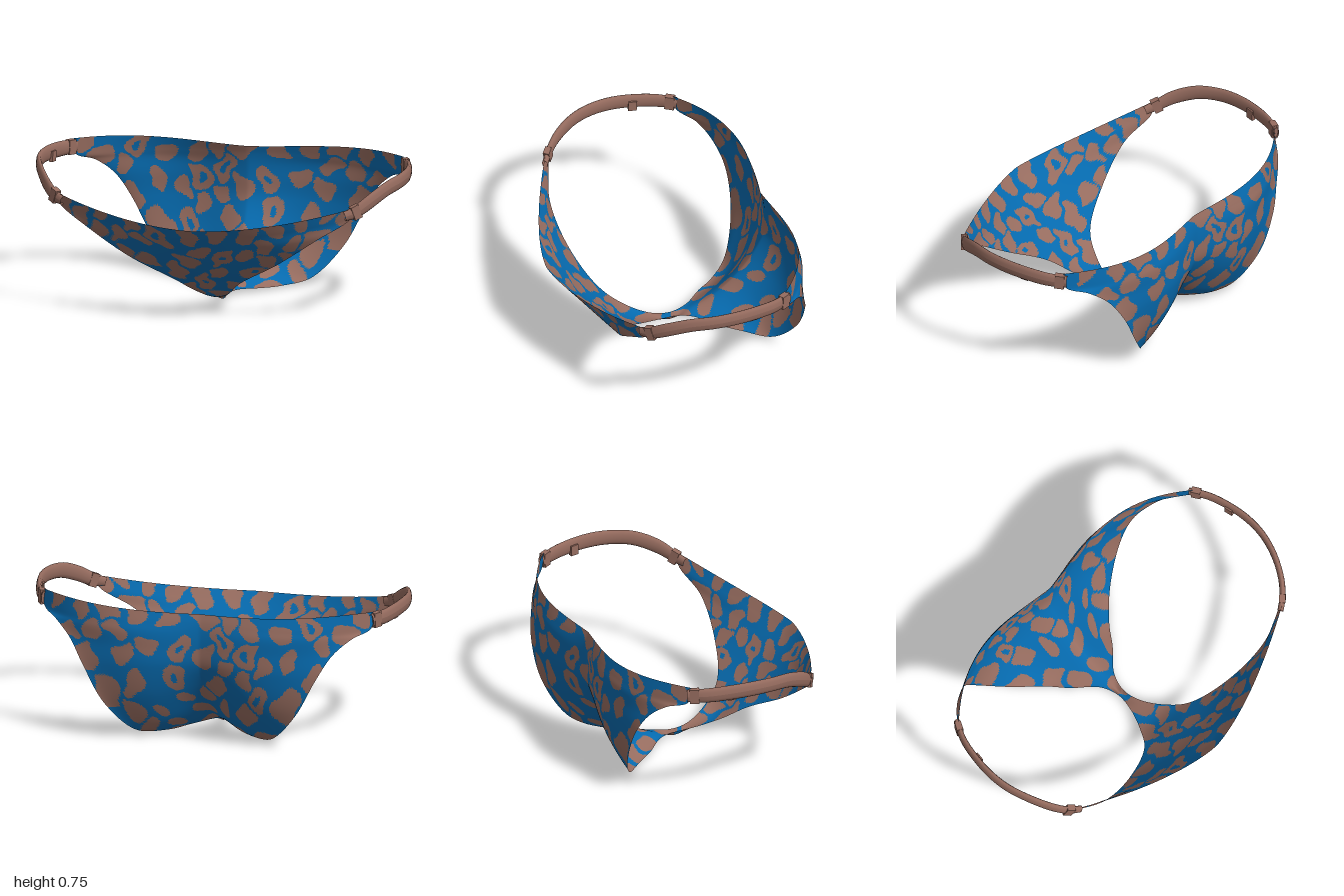
import * as THREE from 'three';

const blue = new THREE.MeshStandardMaterial({ color: 0x066aae, side: THREE.DoubleSide });
blue.name = 'blue fabric';
const brown = new THREE.MeshStandardMaterial({ color: 0x966c5f, side: THREE.DoubleSide });
brown.name = 'brown fabric';

function seeded(seed) {
  return () => (seed = (seed * 16807) % 2147483647) / 2147483647;
}

// Rows from the front waist, under the crotch, up to the back waist:
// [edge x, edge y, edge z, centre y, centre z, backward bulge]
const rows = [
  [0.80, 0.62, 0.355, 0.515, 0.63, 0],
  [0.785, 0.56, 0.345, 0.46, 0.585, 0],
  [0.62, 0.45, 0.395, 0.40, 0.53, 0],
  [0.40, 0.30, 0.37, 0.30, 0.44, 0],
  [0.18, 0.17, 0.28, 0.19, 0.325, 0],
  [0.095, 0.09, 0.17, 0.075, 0.19, 0],
  [0.035, 0.04, 0.04, 0.03, 0.04, 0],
  [0.02, 0.03, -0.06, 0.003, -0.06, 0],
  [0.055, 0.03, -0.16, 0.035, -0.15, 0],
  [0.16, 0.02, -0.27, 0.075, -0.25, 0.01],
  [0.24, 0.015, -0.37, 0.13, -0.34, 0.025],
  [0.37, 0.04, -0.49, 0.20, -0.42, 0.05],
  [0.52, 0.20, -0.575, 0.31, -0.51, 0.065],
  [0.63, 0.40, -0.585, 0.43, -0.57, 0.055],
  [0.71, 0.53, -0.545, 0.53, -0.58, 0.052],
  [0.80, 0.61, -0.485, 0.61, -0.578, 0.055],
  [0.885, 0.655, -0.40, 0.665, -0.57, 0.052],
  [0.89, 0.74, -0.385, 0.71, -0.557, 0.045],
];
const lastRow = rows.length - 1;
const edge = new THREE.CatmullRomCurve3(rows.map(r => new THREE.Vector3(r[0], r[1], r[2])));
const centre = new THREE.CatmullRomCurve3(rows.map(r => new THREE.Vector3(r[5], r[3], r[4])));
const crotch = 7 / lastRow;

// Point on the fabric: t runs front to back, u from -1 to 1 across
function fabricPoint(t, u) {
  const e = edge.getPoint(t), c = centre.getPoint(t), s = Math.abs(u);
  const back = (t - crotch) / (1 - crotch);
  const fz = s ** (back > 0 ? 2 + 2 * back : 1.5);
  const fy = back > 0 ? s * s * (3 - 2 * s) : s * s;
  const bulge = c.x * Math.max(0, Math.sin(Math.PI * s)) ** 1.2;
  return new THREE.Vector3(e.x * u, c.y + (e.y - c.y) * fy, c.z + (e.z - c.z) * fz - bulge);
}

// Grid surface from fn(a, b); an optional test sends faces to a second group
function gridSurface(fn, na, nb, inSecond = () => false) {
  const pts = [], lists = [[], []];
  for (let i = 0; i <= na; i++) for (let j = 0; j <= nb; j++) pts.push(fn(i / na, j / nb));
  const face = (a, b, c) => {
    const mid = pts[a].clone().add(pts[b]).add(pts[c]).divideScalar(3);
    lists[inSecond(mid) ? 1 : 0].push(a, b, c);
  };
  for (let i = 0; i < na; i++) for (let j = 0; j < nb; j++) {
    const a = i * (nb + 1) + j, b = a + nb + 1;
    face(a, b, b + 1);
    face(a, b + 1, a + 1);
  }
  const g = new THREE.BufferGeometry().setFromPoints(pts);
  g.setIndex([...lists[0], ...lists[1]]);
  g.addGroup(0, lists[0].length, 0);
  g.addGroup(lists[0].length, lists[1].length, 1);
  g.computeVertexNormals();
  return g;
}

// Large spots with a set place: [row, position across, radius]
const largeSpots = [
  [12.2, -0.86, 0.082], [11.5, -0.55, 0.062], [13.1, -0.97, 0.055], [12.3, 0.88, 0.08],
  [11.7, 0.76, 0.064], [13.3, 0.93, 0.062], [11.4, 0.5, 0.042], [4.7, -0.75, 0.055],
];

// Irregular animal spots that keep apart from each other, some with open centres
function makeSpotTest() {
  const rnd = seeded(4711), spots = [];
  const addSpot = (t, u, r, angle, ring) => {
    const p = fabricPoint(t, u), h = t > 0.5 ? -0.01 : 0.01, k = u > 0 ? -0.01 : 0.01;
    const down = fabricPoint(t + h, u).sub(p).normalize();
    const across = fabricPoint(t, u + k).sub(p).normalize();
    const axis = down.multiplyScalar(Math.cos(angle)).addScaledVector(across, Math.sin(angle)).normalize();
    spots.push({ p, axis, r, ring });
  };
  for (const [row, u, r] of largeSpots) addSpot(row / lastRow, u, r, 0, false);
  for (let k = 0; k < 6000; k++) {
    const t = rnd(), u = rnd() * 2 - 1, p = fabricPoint(t, u);
    if (spots.some(q => q.p.distanceTo(p) < 0.065 + q.r)) continue;
    const r = 0.044 + rnd() * 0.024;
    addSpot(t, u, r, (rnd() - 0.5) * 2.4, r > 0.055 && rnd() < 0.3);
  }
  const d = new THREE.Vector3();
  return m => {
    const wx = 0.012 * Math.sin(m.y * 49 + m.z * 33), wy = 0.012 * Math.sin(m.x * 45 + m.z * 27);
    let best = 9, second = 9, ring = false;
    for (const q of spots) {
      d.set(m.x + wx, m.y + wy, m.z + wx).sub(q.p);
      const along = d.dot(q.axis);
      const dist = Math.sqrt(Math.max(0, d.lengthSq() * 1.35 - along * along * 0.85)) / q.r;
      if (dist < best) {
        second = best;
        best = dist;
        ring = q.ring;
      } else if (dist < second) second = dist;
    }
    return best < 1 && second - best > 0.22 && !(ring && best < 0.36);
  };
}

// Side strap: [x, y, z, half height] along its length
const strapRows = [
  [0.76, 0.58, 0.372, 0.026], [0.815, 0.60, 0.335, 0.034], [0.875, 0.645, 0.27, 0.04],
  [0.935, 0.69, 0.16, 0.041], [0.972, 0.705, 0.04, 0.041], [0.98, 0.709, -0.08, 0.042],
  [0.965, 0.706, -0.2, 0.042], [0.935, 0.70, -0.31, 0.041], [0.885, 0.695, -0.405, 0.036],
];
const strapPath = new THREE.CatmullRomCurve3(strapRows.map(r => new THREE.Vector3(r[0], r[1], r[2])));
const strapSize = new THREE.CatmullRomCurve3(strapRows.map((r, i) => new THREE.Vector3(i, r[3], 0)));

function strapGeometry(side) {
  return gridSurface((a, b) => {
    const p = strapPath.getPoint(a), tan = strapPath.getTangent(a);
    const out = new THREE.Vector3(-tan.z, 0, tan.x).normalize();
    const up = new THREE.Vector3().crossVectors(out, tan).normalize();
    if (up.y < 0) up.negate();
    const ang = b * Math.PI * 2 * side;
    p.addScaledVector(out, Math.cos(ang) * 0.016).addScaledVector(up, Math.sin(ang) * strapSize.getPoint(a).y);
    p.x *= side;
    return p;
  }, 32, 12);
}

export function createModel() {
  const model = new THREE.Group();
  model.name = 'swimBottom';

  // Spotted front, crotch and back in one sheet
  const sheet = gridSurface((a, b) => fabricPoint(a, b * 2 - 1), 238, 140, makeSpotTest());
  const fabric = new THREE.Mesh(sheet, [blue, brown]);
  fabric.name = 'spottedFabric';
  model.add(fabric);

  for (const side of [1, -1]) {
    const name = side > 0 ? 'left' : 'right';
    const strap = new THREE.Mesh(strapGeometry(side), brown);
    strap.name = name + 'Strap';
    model.add(strap);

    // Flat loops at both strap ends, and a small tab inside near the back:
    // [part, position along strap, inward shift, drop, width, height, length]
    const fittings = [
      ['FrontLoop', 0.12, 0, 0, 0.034, 0.074, 0.045],
      ['BackLoop', 0.955, 0, 0, 0.034, 0.078, 0.05],
      ['Tab', 0.73, 0.014, 0.02, 0.022, 0.056, 0.045],
    ];
    for (const [part, t, inward, drop, ...size] of fittings) {
      const fitting = new THREE.Mesh(new THREE.BoxGeometry(...size), brown);
      const p = strapPath.getPoint(t), tan = strapPath.getTangent(t);
      fitting.position.set((p.x - inward) * side, p.y - drop, p.z);
      tan.x *= side;
      fitting.lookAt(fitting.position.clone().add(tan));
      fitting.name = name + part;
      model.add(fitting);
    }
  }
  return model;
}
